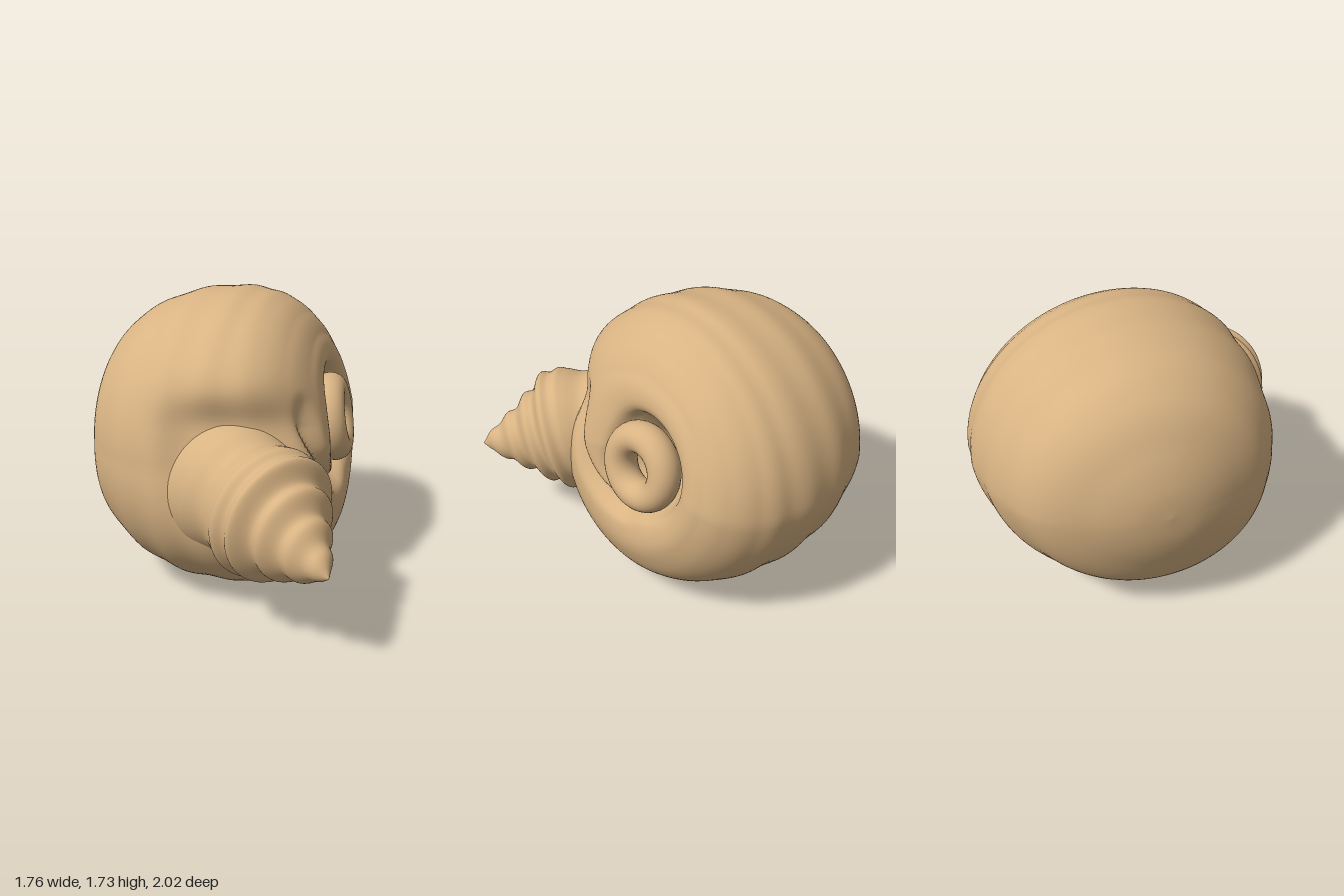
import * as THREE from 'three';

const gauss = (d, w) => Math.exp(-(d * d) / (w * w));
const clamp01 = (v) => Math.min(1, Math.max(0, v));

// Closed loops of points: fn(u 0..1, angle) -> [x, y, z]
function loft(rows, cols, fn) {
  const pos = [], index = [];
  for (let i = 0; i <= rows; i++) {
    for (let j = 0; j < cols; j++) pos.push(...fn(i / rows, (j / cols) * Math.PI * 2));
  }
  for (let i = 0; i < rows; i++) {
    for (let j = 0; j < cols; j++) {
      const k = (j + 1) % cols;
      const a = i * cols + j, b = a + cols, c = (i + 1) * cols + k, d = i * cols + k;
      index.push(a, b, c, a, c, d);
    }
  }
  const geo = new THREE.BufferGeometry();
  geo.setAttribute('position', new THREE.Float32BufferAttribute(pos, 3));
  geo.setIndex(index);
  geo.computeVertexNormals();
  return geo;
}

// Large coiled whorl, wound about the x axis
function bodyGeometry() {
  // x position, radius as a fraction of the full size
  const profile = new THREE.SplineCurve([
    [-0.88, 0], [-0.86, 0.22], [-0.79, 0.46], [-0.66, 0.73], [-0.43, 0.905], [-0.2, 0.985],
    [0, 1], [0.2, 0.975], [0.36, 0.9], [0.48, 0.77], [0.55, 0.6], [0.56, 0.48],
    [0.53, 0.38], [0.45, 0.32], [0.36, 0.25], [0.22, 0.13], [0.2, 0],
  ].map((p) => new THREE.Vector2(...p)));

  return loft(130, 128, (u, a) => {
    const p = profile.getPoint(u);
    const ny = Math.sin(a), nz = Math.cos(a);
    const fr = Math.max(0, p.y);
    const right = clamp01(p.x / 0.45);

    // the centre slides towards the coil on the right-hand face
    const slide = p.x > 0 ? clamp01((0.95 - fr) / 0.55) : 0;
    const cy = 0.87 + 0.1 * slide + (p.x < 0 ? 0.04 * (1 - fr) : 0);
    const cz = -0.12 - 0.145 * slide;

    // faint spiral growth ribs
    const rib = 1 + 0.006 * Math.sin(p.x * 24 + a) * clamp01((0.35 - p.x) * 4);
    const y = cy + 0.86 * fr * rib * ny;
    let z = cz + 0.88 * fr * rib * nz - (ny > 0 ? 0 : 0.1) * ny * fr;

    // hollow for the neck: steep under the upper whorl, easing out below
    const front = clamp01(nz * 2);
    const dropY = y - 1.1;
    const hollow = 0.2 * gauss(p.x - 0.45, 0.24) * gauss(dropY, dropY > 0 ? 0.2 : 0.3)
      + 0.17 * gauss(p.x - 0.08, 0.26) * gauss(dropY, dropY > 0 ? 0.18 : 0.4);
    z = cz + (z - cz) * (1 - hollow * front);

    // tilted right-hand face, leaning in at the top and out at the front
    const lean = 0.06 * nz - (ny > 0 ? 0.12 : 0.07) * ny;
    let x = p.x + right * Math.min(1, fr * 1.6) * lean;

    // spiral groove running out from the coil to the front
    const dy = y - 0.97, dz = z + 0.265;
    const phi = Math.atan2(dy, dz);
    const fade = clamp01((phi + 1.7) * 2.5) * clamp01((0.5 - phi) * 3);
    const rg = 0.33 + 0.16 * (phi + 1.3);
    if (p.x > 0.3) x -= 0.07 * fade * gauss(Math.hypot(dy, dz) - rg, 0.05);
    return [x, y, z];
  });
}

// Pointed spire, lofted along a bent centre line from the buried base to the tip
function spireGeometry() {
  const line = new THREE.CatmullRomCurve3([
    [-0.12, 0.68, 0.2], [0.08, 0.71, 0.37], [0.26, 0.72, 0.52], [0.42, 0.72, 0.64],
    [0.56, 0.68, 0.75], [0.72, 0.625, 0.87], [0.88, 0.58, 1],
  ].map((p) => new THREE.Vector3(...p)));

  // distance along the line from base to tip, radius
  const radius = new THREE.SplineCurve([
    [0, 0.3], [0.1, 0.37], [0.22, 0.4], [0.33, 0.37], [0.43, 0.325], [0.52, 0.34], [0.59, 0.345],
    [0.66, 0.3], [0.75, 0.22], [0.84, 0.15], [0.91, 0.095], [0.96, 0.05], [1, 0],
  ].map((p) => new THREE.Vector2(...p)));

  const axis = new THREE.Vector3(0.77, -0.21, 0.6).normalize();
  const side = axis.clone().cross(new THREE.Vector3(0, 1, 0)).normalize();
  const up = side.clone().cross(axis);

  return loft(140, 72, (u, a) => {
    const { x: t, y: r0 } = radius.getPoint(u);
    // helical stepped whorls
    const step = Math.sin(t * 2 * Math.PI * 9.5 + a) * clamp01((t - 0.52) * 8);
    const r = Math.max(0, r0) * (1 + 0.075 * step);
    return line.getPointAt(clamp01(t))
      .addScaledVector(side, r * Math.cos(a))
      .addScaledVector(up, r * 1.1 * Math.sin(a))
      .toArray();
  });
}

export function createModel() {
  const group = new THREE.Group();
  const tan = new THREE.MeshStandardMaterial({ color: 0xd8b383 });
  tan.name = 'shell tan';

  const add = (name, geo) => {
    const mesh = new THREE.Mesh(geo, tan);
    mesh.name = name;
    group.add(mesh);
    return mesh;
  };

  add('bodyWhorl', bodyGeometry());
  add('pointedSpire', spireGeometry());

  // rolled inner coil on the right-hand face
  const coil = add('innerCoil', new THREE.TorusGeometry(0.168, 0.088, 28, 72));
  coil.position.set(0.51, 0.97, -0.265);
  coil.quaternion.setFromUnitVectors(
    new THREE.Vector3(0, 0, 1),
    new THREE.Vector3(1, 0.17, -0.17).normalize(),
  );
  coil.scale.set(1, 1.03, 1.1);

  return group;
}
